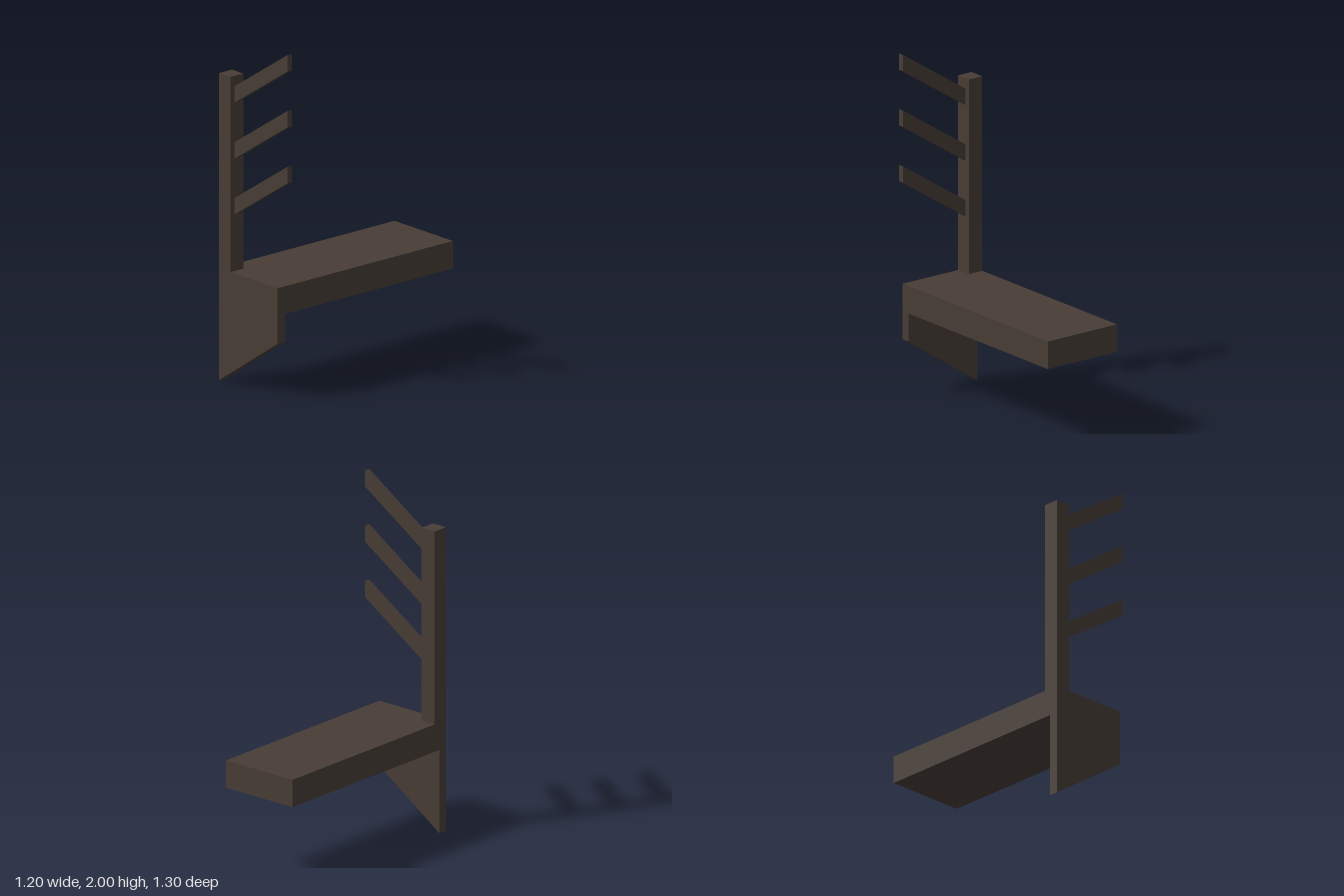
import * as THREE from 'three';

export function createModel() {
  const model = new THREE.Group();
  model.name = 'wallShelfWithPegs';
  const wood = new THREE.MeshStandardMaterial({ color: 0x483d36 });
  wood.name = 'dark wood';

  // Everything is square to one turned frame whose origin is the corner below the post
  const frame = new THREE.Group();
  frame.name = 'turnedFrame';
  frame.position.set(-0.6, 0, 0.33);
  frame.rotation.y = -0.7;
  model.add(frame);

  // Extrudes a side profile [across, up] from depth near to depth far behind the front
  function slab(name, points, near, far) {
    const shape = new THREE.Shape(points.map(([s, y]) => new THREE.Vector2(s, y)));
    const geometry = new THREE.ExtrudeGeometry(shape, { depth: far - near, bevelEnabled: false });
    geometry.translate(0, 0, -far);
    const mesh = new THREE.Mesh(geometry, wood);
    mesh.name = name;
    frame.add(mesh);
  }

  const width = 0.484, post = 0.094;
  const rect = (w, y0, y1) => [[0, y0], [w, y0], [w, y1], [0, y1]];

  // Long plank and the upright at its corner
  slab('plank', rect(width, 0.487, 0.647), 0, 1.288);
  slab('post', rect(post, 0.647, 1.775), 0, post);

  // Tapered bracket under the front end
  slab('bracket', [[0, 0], [width, 0.325], [width, 0.487], [0, 0.487]], 0, 0.054);

  // Three rising pegs with upright ends
  for (let i = 0; i < 3; i++) {
    const y = 0.974 + i * 0.323;
    slab('peg' + (i + 1), [[post, y], [0.532, y + 0.285], [0.532, y + 0.38], [post, y + 0.095]], 0.03, 0.064);
  }
  return model;
}
